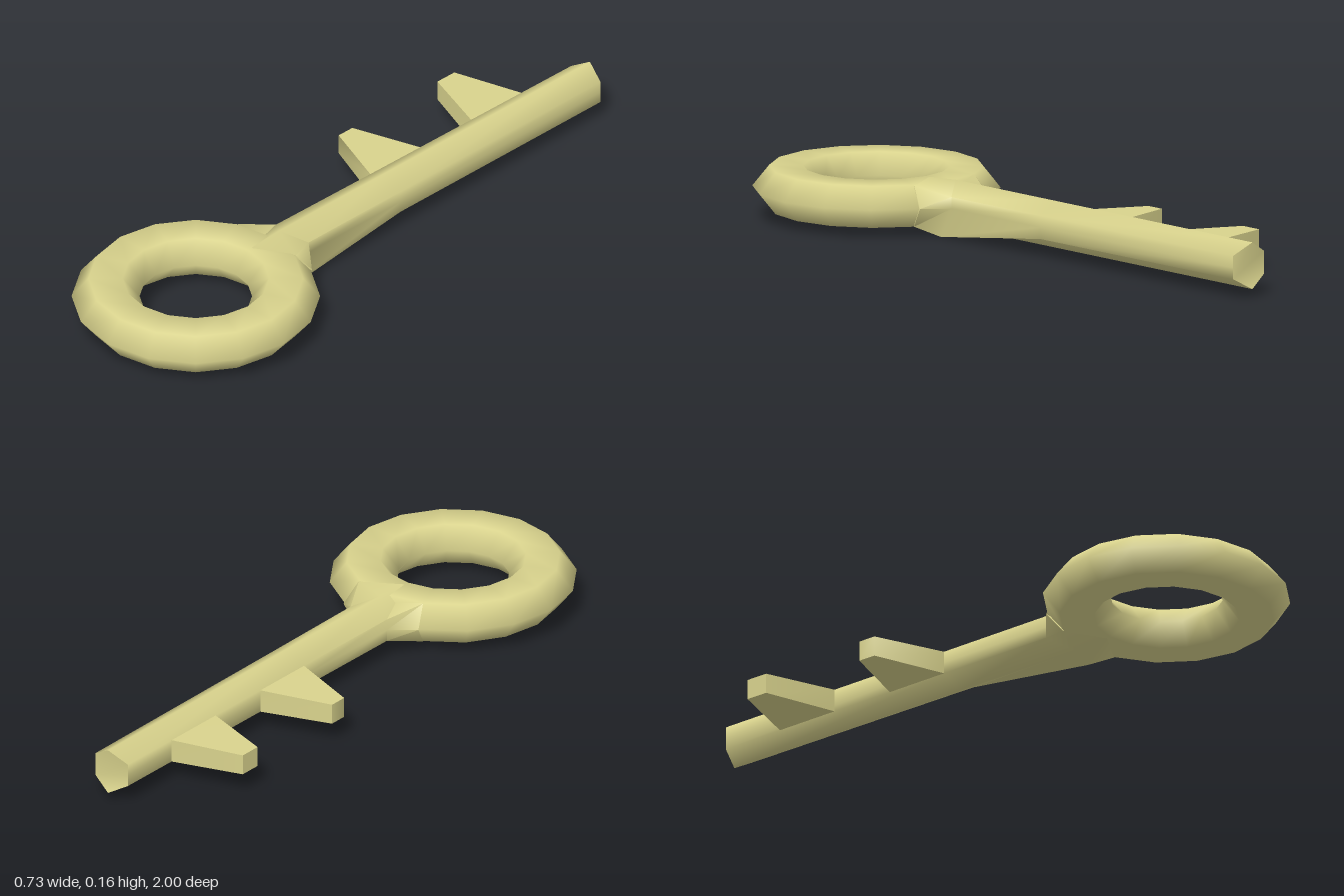
import * as THREE from 'three';
import { toCreasedNormals } from 'three/addons/utils/BufferGeometryUtils.js';

// Skin rings of [x, y, z] points, counter-clockwise seen from +z and ordered from low to high z.
function loft(sections) {
  const n = sections[0].length, last = (sections.length - 1) * n, index = [];
  for (let s = 0; s < sections.length - 1; s++) {
    for (let j = 0; j < n; j++) {
      const a = s * n + j, b = s * n + (j + 1) % n;
      index.push(a, b, a + n, b, b + n, a + n);
    }
  }
  for (let j = 1; j < n - 1; j++) {
    index.push(0, j + 1, j, last, last + j, last + j + 1);
  }
  const geometry = new THREE.BufferGeometry();
  geometry.setAttribute('position', new THREE.Float32BufferAttribute(sections.flat(2), 3));
  geometry.setIndex(index);
  return toCreasedNormals(geometry, 1.2);
}

export function createModel() {
  const key = new THREE.Group();
  key.name = 'key';
  const brass = new THREE.MeshStandardMaterial({ color: 0xd9d38d });
  brass.name = 'pale brass';
  const add = (name, geometry) => {
    const mesh = new THREE.Mesh(geometry, brass);
    mesh.name = name;
    key.add(mesh);
    return mesh;
  };
  const midY = 0.093;

  // Ring handle with a flattened hexagonal section
  const ring = new THREE.TorusGeometry(0.265, 0.1, 6, 16);
  ring.rotateX(-Math.PI / 2).scale(1, 0.72, 1).translate(0, midY, 0.635);
  add('handleRing', ring);

  // Hexagonal shaft section with an extra point at the middle of each side
  const hex = (z, w = 0.061, sideZ = z) => [
    [w, midY - 0.035, sideZ], [w, midY, sideZ], [w, midY + 0.035, sideZ], [0, 0.163, z],
    [-w, midY + 0.035, sideZ], [-w, midY, sideZ], [-w, midY - 0.035, sideZ], [0, 0.023, z],
  ];
  // The neck has one corner pulled down below the shaft
  const neck = hex(0.29, 0.068, 0.235);
  neck[0] = [0.06, 0, 0.29];
  // The flare spreads into the ring
  const flare = [
    [0.12, 0.031, 0.34], [0.14, midY, 0.293], [0.12, 0.155, 0.34], [0, 0.155, 0.41],
    [-0.12, 0.155, 0.34], [-0.14, midY, 0.293], [-0.12, 0.031, 0.34], [0, 0.031, 0.41],
  ];
  add('shaft', loft([hex(-1, 0.061, -0.983), hex(-0.15, 0.065), neck, flare]));

  // Two tapered teeth on the right side, lofted outward from the shaft
  const rect = (z0, z1, y0, y1, out) => [[z0, y0, out], [z1, y0, out], [z1, y1, out], [z0, y1, out]];
  const teeth = [
    { name: 'outerTooth', root: [-0.777, -0.57], tip: [-0.72, -0.65] },
    { name: 'innerTooth', root: [-0.36, -0.153], tip: [-0.297, -0.24] },
  ];
  for (const { name, root, tip } of teeth) {
    const tooth = loft([
      rect(...root, 0.058, 0.128, 0.05),
      rect(...root, 0.058, 0.128, 0.063),
      rect(...tip, 0.062, 0.124, 0.283),
    ]);
    add(name, tooth.rotateY(-Math.PI / 2));
  }
  return key;
}
